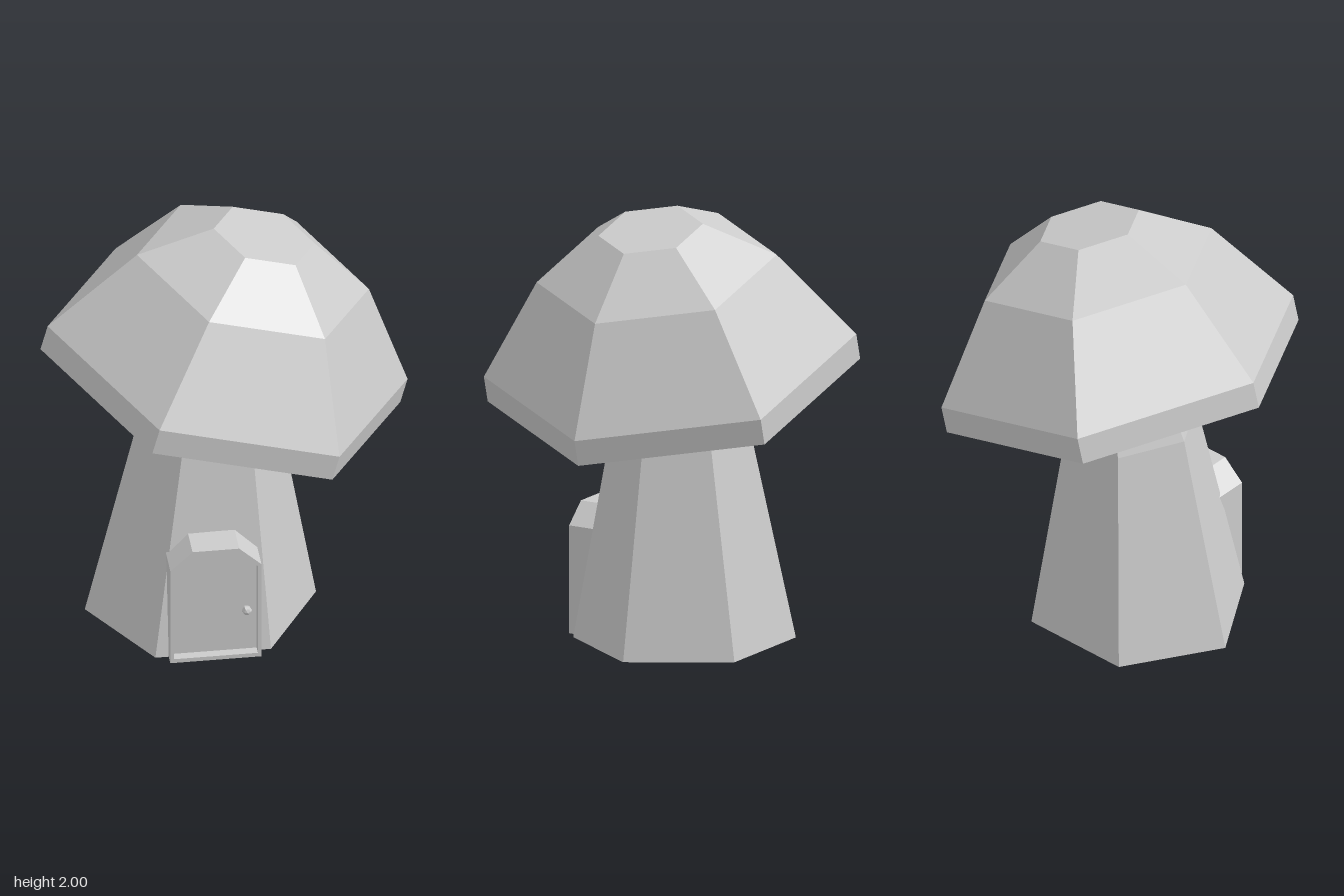
import * as THREE from 'three';

const TILT = Math.PI / 12;
const SIDES = 6;

const material = () => new THREE.MeshStandardMaterial({
  color: 0xcccccc, flatShading: true, side: THREE.DoubleSide,
});

// Skin over hexagonal rings, listed bottom to top; each ring is { x, y, rx, rz, tilt }
function loft(name, rings, capTop) {
  const pos = [], idx = [];
  for (const { x, y, rx, rz, tilt } of rings) {
    for (let k = 0; k < SIDES; k++) {
      const a = (k / SIDES) * Math.PI * 2, u = rx * Math.cos(a);
      pos.push(x + u * Math.cos(tilt), y - u * Math.sin(tilt), rz * Math.sin(a));
    }
  }
  for (let r = 0; r < rings.length - 1; r++) {
    for (let k = 0; k < SIDES; k++) {
      const a = r * SIDES + k, b = r * SIDES + (k + 1) % SIDES;
      idx.push(a, a + SIDES, b, b, a + SIDES, b + SIDES);
    }
  }
  if (capTop) {
    const t = (rings.length - 1) * SIDES;
    for (let k = 1; k < SIDES - 1; k++) idx.push(t, t + k + 1, t + k);
  }
  const indexed = new THREE.BufferGeometry();
  indexed.setAttribute('position', new THREE.Float32BufferAttribute(pos, 3));
  indexed.setIndex(idx);
  const geometry = indexed.toNonIndexed();
  geometry.computeVertexNormals();
  const mesh = new THREE.Mesh(geometry, material());
  mesh.name = name;
  return mesh;
}

// Ring of the cap at a height along its leaning axis
function capRing(h, r) {
  return {
    x: -0.02 + h * Math.sin(TILT), y: 1.205 + h * Math.cos(TILT),
    rx: r, rz: r, tilt: TILT,
  };
}

// Door outline with chamfered top corners
function arch(half, bottom, shoulder, top, topHalf) {
  return [[-half, bottom], [half, bottom], [half, shoulder], [topHalf, top],
    [-topHalf, top], [-half, shoulder]].map(([x, y]) => new THREE.Vector2(x, y));
}

function createDoor() {
  const door = new THREE.Group();
  door.name = 'door';
  door.position.x = -0.105;
  const outer = arch(0.205, 0, 0.497, 0.59, 0.105);
  const inner = arch(0.189, 0.02, 0.488, 0.572, 0.098);
  const add = (name, geometry, z, x = 0, y = 0) => {
    const mesh = new THREE.Mesh(geometry, material());
    mesh.name = name;
    mesh.position.set(x, y, z);
    door.add(mesh);
    return mesh;
  };

  // Frame around the recessed panel
  const frameShape = new THREE.Shape(outer);
  frameShape.holes.push(new THREE.Path(inner));
  add('doorFrame', new THREE.ExtrudeGeometry(frameShape, { depth: 0.045, bevelEnabled: false }), 0.43);
  add('doorPanel', new THREE.ShapeGeometry(new THREE.Shape(inner)), 0.432);

  // Porch walls running back into the stem, open below and behind
  const walls = [], idx = [];
  for (let i = 1; i <= outer.length; i++) {
    const p = outer[i % outer.length];
    walls.push(p.x, p.y, 0.43, p.x, p.y, 0.075);
    if (i > 1) {
      const a = (i - 2) * 2;
      idx.push(a, a + 1, a + 2, a + 2, a + 1, a + 3);
    }
  }
  const porch = new THREE.BufferGeometry();
  porch.setAttribute('position', new THREE.Float32BufferAttribute(walls, 3));
  porch.setIndex(idx);
  const flat = porch.toNonIndexed();
  flat.computeVertexNormals();
  add('porchWalls', flat, 0);

  // Knob
  add('doorKnob', new THREE.SphereGeometry(0.023, 6, 4).rotateX(Math.PI / 2), 0.45, 0.143, 0.237);
  return door;
}

export function createModel() {
  const model = new THREE.Group();
  model.name = 'mushroomHouse';

  // Tapering, bent stem, open underneath
  model.add(loft('stem', [
    { x: -0.11, y: 0, rx: 0.52, rz: 0.488, tilt: 0 },
    { x: -0.067, y: 0.97, rx: 0.322, rz: 0.306, tilt: 0.157 },
    { x: -0.045, y: 1.11, rx: 0.274, rz: 0.274, tilt: TILT },
  ], false));

  // Leaning cap: underside, rim, dome and flat crown
  model.add(loft('cap', [
    capRing(-0.098, 0.274), capRing(0, 0.838), capRing(0.125, 0.838),
    capRing(0.565, 0.54), capRing(0.761, 0.235),
  ], true));

  model.add(createDoor());
  return model;
}
